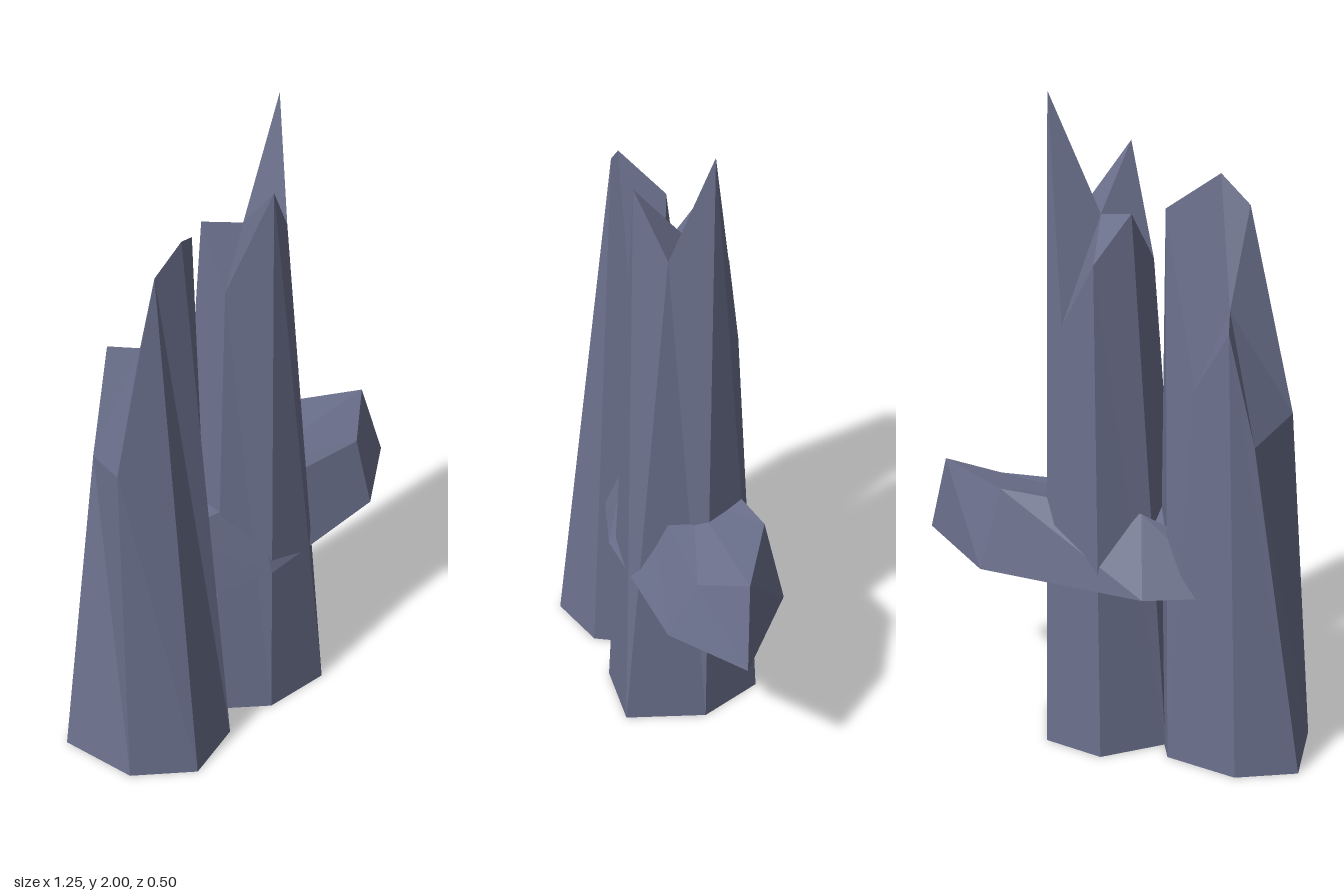
import * as THREE from 'three';

// Crystal: a ring of base points [x, z] at height y0 joined to a ring of top points [x, y, z].
// Both rings run clockwise as seen from above.
function crystal(name, material, y0, base, top) {
  const n = base.length;
  const low = base.map(([x, z]) => [x, y0, z]);
  const mean = (ring) => [0, 1, 2].map((k) => ring.reduce((s, p) => s + p[k], 0) / n);
  const lowMid = mean(low);
  const topMid = mean(top);
  const pos = [];
  const tri = (...pts) => pts.forEach((p) => pos.push(...p));
  for (let i = 0; i < n; i++) {
    const j = (i + 1) % n;
    tri(low[i], top[i], top[j]); // side facet
    tri(low[i], top[j], low[j]);
    tri(topMid, top[j], top[i]); // broken top
    tri(lowMid, low[i], low[j]); // flat underside
  }
  const geometry = new THREE.BufferGeometry();
  geometry.setAttribute('position', new THREE.Float32BufferAttribute(pos, 3));
  geometry.computeVertexNormals();
  const mesh = new THREE.Mesh(geometry, material);
  mesh.name = name;
  return mesh;
}

export function createModel() {
  const group = new THREE.Group();
  group.name = 'crystalCluster';
  const stone = new THREE.MeshStandardMaterial({ color: 0x6a6f8b, flatShading: true });
  stone.name = 'slate blue stone';

  // Tall spire in the middle
  group.add(crystal('centreSpire', stone, 0,
    [[0.225, -0.015], [0.148, 0.222], [-0.064, 0.205], [-0.2, 0.09],
      [-0.2, -0.11], [-0.04, -0.25], [0.15, -0.215]],
    [[0.195, 2.0, -0.04], [0.12, 1.65, 0.068], [0.005, 1.83, 0.127], [-0.098, 1.51, 0.04],
      [-0.073, 1.68, -0.08], [0.013, 1.54, -0.157], [0.115, 1.34, -0.147]]));

  // Spire with a long slanted break
  group.add(crystal('sideSpire', stone, 0,
    [[-0.135, 0.01], [-0.237, 0.195], [-0.428, 0.248], [-0.587, 0.115],
      [-0.628, -0.128], [-0.457, -0.218], [-0.23, -0.178]],
    [[-0.157, 1.69, -0.03], [-0.288, 1.78, 0.067], [-0.38, 1.7, 0.057], [-0.527, 1.09, 0.042],
      [-0.467, 1.04, -0.128], [-0.387, 1.38, -0.14], [-0.282, 1.19, -0.125]]));

  // Flat slab crossing both spires
  group.add(crystal('crossSlab', stone, 0.545,
    [[0.626, 0.015], [0.4, 0.176], [-0.06, 0.197], [-0.4, 0.1],
      [-0.4, -0.12], [-0.165, -0.23], [0.363, -0.207]],
    [[0.556, 0.8, -0.015], [0.42, 0.728, 0.092], [-0.02, 0.76, 0.08], [-0.3, 0.75, 0.04],
      [-0.3, 0.7, -0.1], [-0.12, 0.77, -0.117], [0.312, 0.8, -0.16]]));

  return group;
}
